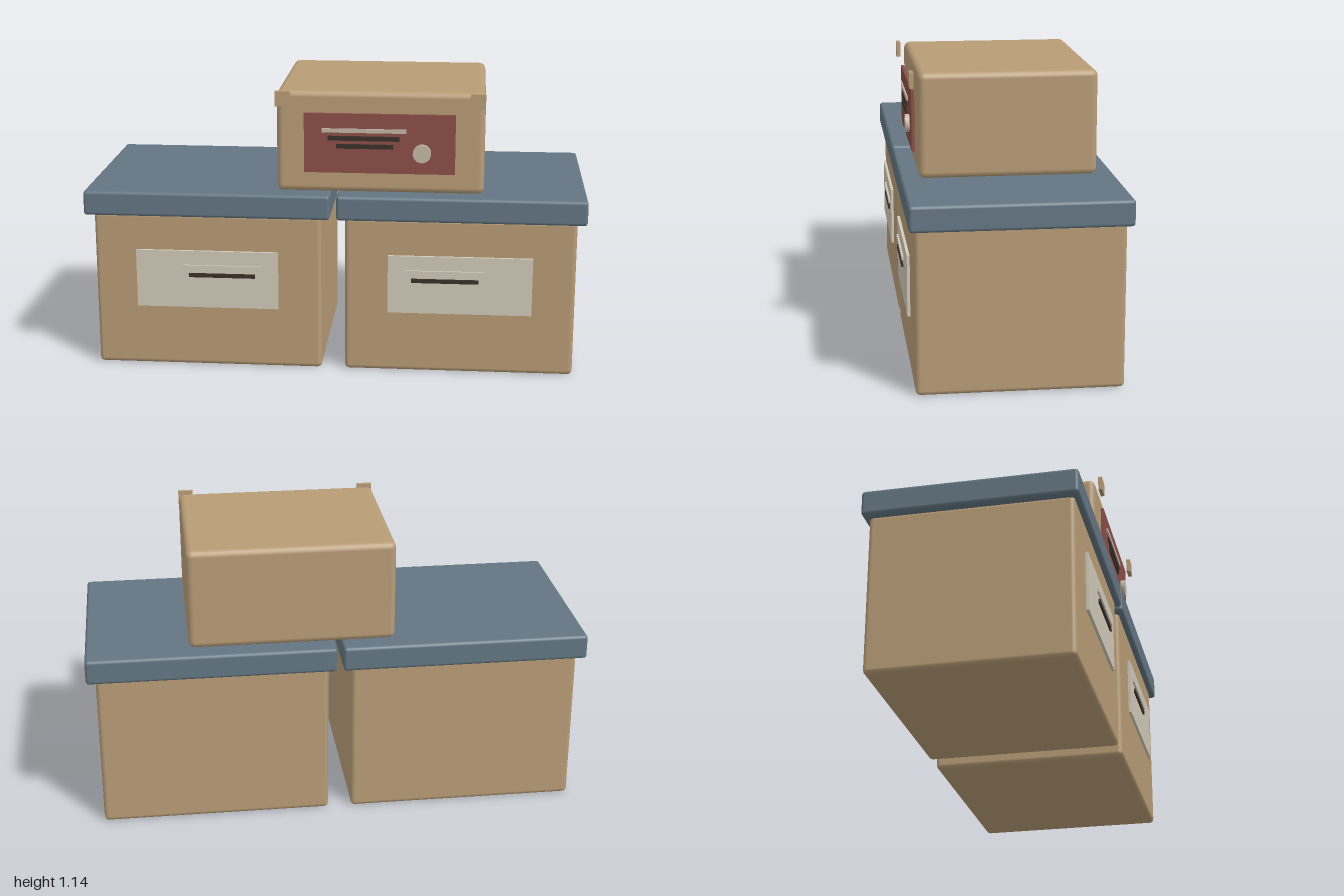
import * as THREE from 'three';
import { RoundedBoxGeometry } from 'three/addons/geometries/RoundedBoxGeometry.js';

const material = (name, color) => {
  const m = new THREE.MeshStandardMaterial({ color });
  m.name = name;
  return m;
};

export function createModel() {
  const cardboard = material('cardboard tan', 0xb89c76);
  const slate = material('slate blue', 0x637682);
  const red = material('brick red', 0x8c4e47);
  const cream = material('label cream', 0xd0cab8);
  const ink = material('dark ink', 0x3a3028);
  const metal = material('pale metal', 0xc4b8a6);

  const model = new THREE.Group();
  model.name = 'storageBoxes';

  // Adds a block from its min/max extents; a radius rounds the edges
  function block(parent, name, mat, [x0, x1], [y0, y1], [z0, z1], radius = 0) {
    const size = [x1 - x0, y1 - y0, z1 - z0];
    const geometry = radius
      ? new RoundedBoxGeometry(...size, 2, radius)
      : new THREE.BoxGeometry(...size);
    const mesh = new THREE.Mesh(geometry, mat);
    mesh.name = name;
    mesh.position.set((x0 + x1) / 2, (y0 + y1) / 2, (z0 + z1) / 2);
    parent.add(mesh);
    return mesh;
  }

  // Two large lidded boxes, mirrored about the centre
  for (const s of [-1, 1]) {
    const box = new THREE.Group();
    box.name = s < 0 ? 'rightBox' : 'leftBox';
    model.add(box);
    const span = (a, b) => (s < 0 ? [-b, -a] : [a, b]);
    block(box, 'body', cardboard, span(0.047, 0.963), [0, 0.64], [-0.39, 0.39], 0.018);
    block(box, 'lid', slate, span(0.013, 1), [0.63, 0.73], [-0.412, 0.412], 0.013);
    block(box, 'label', cream, span(0.22, 0.793), [0.253, 0.49], [0.396, 0.407]);
    block(box, 'labelRidge', cream, span(0.285, 0.605), [0.416, 0.432], [0.407, 0.414]);
    block(box, 'labelLine', ink, span(0.313, 0.58), [0.382, 0.398], [0.407, 0.414]);
  }

  // Smaller box resting on the lids
  const top = new THREE.Group();
  top.name = 'topBox';
  model.add(top);
  block(top, 'body', cardboard, [-0.228, 0.593], [0.73, 1.138], [-0.343, 0.343], 0.025);
  block(top, 'frontPanel', red, [-0.117, 0.478], [0.815, 1.053], [0.35, 0.362]);
  block(top, 'panelBar', metal, [-0.046, 0.286], [0.978, 0.994], [0.362, 0.368]);
  block(top, 'panelLineUpper', ink, [-0.022, 0.26], [0.946, 0.964], [0.362, 0.368]);
  block(top, 'panelLineLower', ink, [0.01, 0.235], [0.914, 0.932], [0.362, 0.368]);

  // Round knob on the panel
  const knob = new THREE.Mesh(new THREE.CylinderGeometry(0.036, 0.036, 0.018, 20), metal);
  knob.name = 'knob';
  knob.rotation.x = Math.PI / 2;
  knob.position.set(0.348, 0.9, 0.37);
  top.add(knob);

  // Small corner tabs at the top of the front
  for (const [name, x] of [['rightTab', -0.23], ['leftTab', 0.533]]) {
    block(top, name, cardboard, [x, x + 0.06], [1.08, 1.14], [0.36, 0.376]);
  }

  return model;
}
